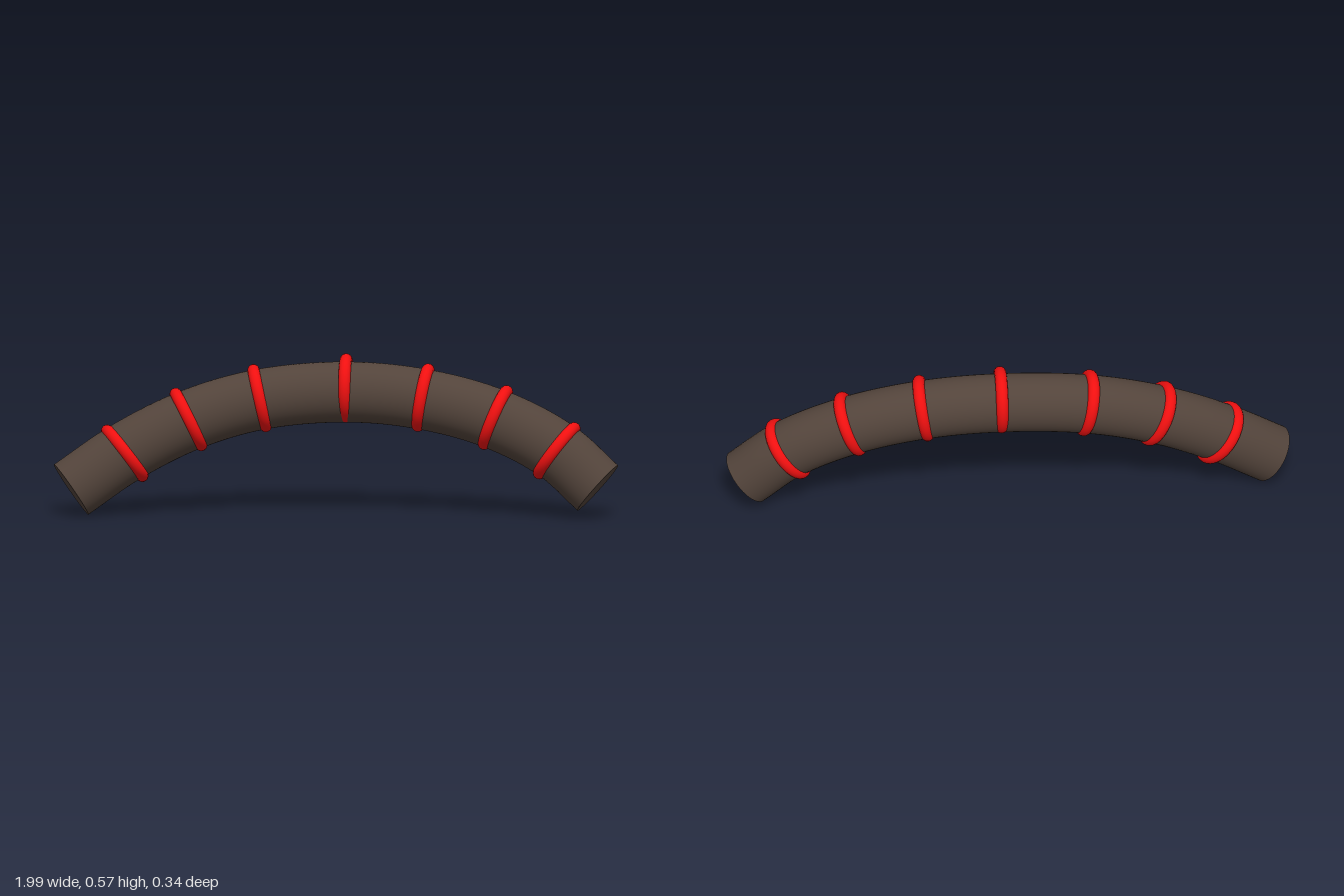
import * as THREE from 'three';

const DEPTH = 0.9; // cross-section is slightly flattened front to back
const RADIUS = 0.1075;

export function createModel() {
  const model = new THREE.Group();
  model.name = 'bandedArch';
  model.scale.z = DEPTH;

  const brown = new THREE.MeshStandardMaterial({ color: 0x53443b });
  const red = new THREE.MeshStandardMaterial({ color: 0xf01010 });
  const vec = (x, y, z) => new THREE.Vector3(x, y, z / DEPTH);
  const forward = new THREE.Vector3(0, 0, 1);

  const add = (name, geometry, material, position, direction) => {
    const mesh = new THREE.Mesh(geometry, material);
    mesh.name = name;
    if (position) mesh.position.copy(position);
    if (direction) mesh.quaternion.setFromUnitVectors(forward, direction.clone().normalize());
    model.add(mesh);
  };

  // Curved body
  const curve = new THREE.CatmullRomCurve3([
    vec(-0.935, 0.0885, 0.073),
    vec(-0.749, 0.216, 0.031),
    vec(-0.527, 0.328, -0.008),
    vec(-0.278, 0.402, -0.038),
    vec(0.026, 0.430, -0.057),
    vec(0.299, 0.408, -0.056),
    vec(0.556, 0.342, -0.047),
    vec(0.775, 0.234, -0.03),
    vec(0.922, 0.107, -0.012),
  ]);
  add('body', new THREE.TubeGeometry(curve, 80, RADIUS, 40, false), brown);

  // Flat ends
  const cap = new THREE.CircleGeometry(RADIUS, 40);
  add('rightEnd', cap, brown, curve.getPointAt(0), curve.getTangentAt(0).negate());
  add('leftEnd', cap, brown, curve.getPointAt(1), curve.getTangentAt(1));

  // Bands: centre x, y, z, then the slope of the axis in y and z
  const band = new THREE.TorusGeometry(0.101, 0.0215, 16, 48);
  [
    [-0.749, 0.214, 0.031, 0.78, -0.22],
    [-0.527, 0.332, -0.008, 0.50, -0.15],
    [-0.278, 0.407, -0.038, 0.22, -0.09],
    [0.026, 0.444, -0.058, 0.0, -0.02],
    [0.299, 0.414, -0.055, -0.17, 0.02],
    [0.556, 0.348, -0.046, -0.41, 0.06],
    [0.775, 0.235, -0.029, -0.75, 0.11],
  ].forEach(([x, y, z, slopeY, slopeZ], i) =>
    add(`band${i + 1}`, band, red, vec(x, y, z), vec(1, slopeY, slopeZ)));

  return model;
}
